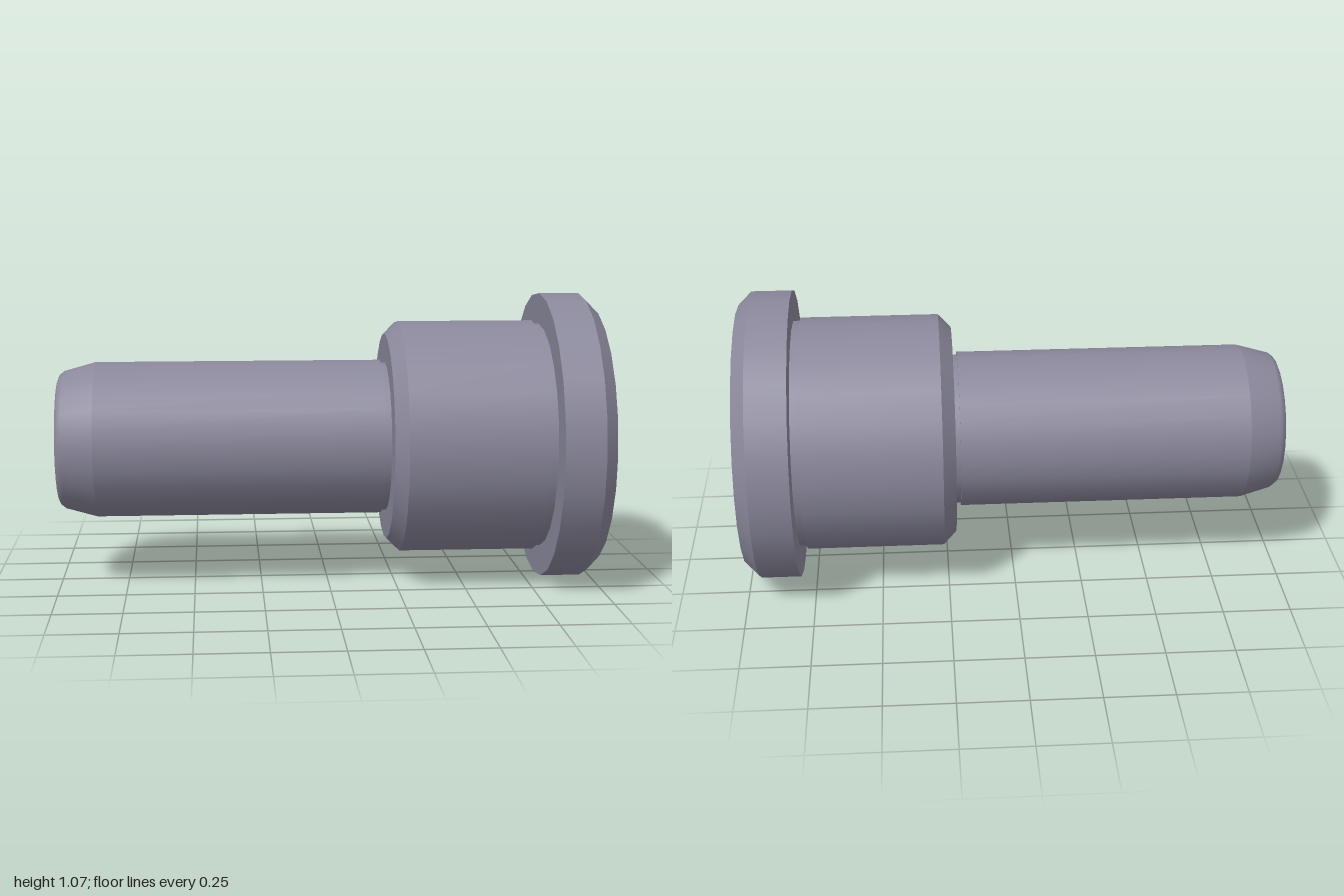
import * as THREE from 'three';

const SIDES = 24;
const AXIS_HEIGHT = 0.537;
const material = new THREE.MeshStandardMaterial({ color: 0x8a889b });

// Each run is a list of [x, radius]; shading is smooth inside a run and creased between runs.
function turnedPart(name, runs) {
  const part = new THREE.Group();
  part.name = name;
  runs.forEach((run, i) => {
    const points = run.map(([x, r]) => new THREE.Vector2(r, x));
    const geometry = new THREE.LatheGeometry(points, SIDES);
    geometry.normalizeNormals(); // the lathe leaves its last ring unnormalised
    const mesh = new THREE.Mesh(geometry, material);
    mesh.name = `${name}Surface${i + 1}`;
    part.add(mesh);
  });
  return part;
}

// Splits a profile into sharp-edged runs of one segment each.
const sharp = (profile) => profile.slice(1).map((p, i) => [profile[i], p]);

export function createModel() {
  const model = new THREE.Group();
  model.name = 'shoulderPin';

  // Shaft with a rounded, tapered tip and a shallow relief groove at the shoulder
  const shaft = turnedPart('shaft', [
    [[-1, 0], [-1, 0.228]],
    [[-1, 0.228], [-0.994, 0.243], [-0.975, 0.258], [-0.86, 0.29]],
    ...sharp([[-0.86, 0.29], [0.2, 0.29], [0.2, 0.28], [0.22, 0.28]]),
  ]);

  // Chamfered collar with a relief groove under the head
  const collar = turnedPart('collar', sharp([
    [0.22, 0.28], [0.22, 0.387], [0.267, 0.435], [0.775, 0.435], [0.775, 0.423], [0.802, 0.423],
  ]));

  // Wide head with a chamfered outer rim and flat end face
  const head = turnedPart('head', sharp([
    [0.802, 0.423], [0.802, 0.537], [0.95, 0.537], [1, 0.487], [1, 0],
  ]));

  // Lay the turning axis along x
  const body = new THREE.Group();
  body.name = 'pinBody';
  body.add(shaft, collar, head);
  body.rotation.z = -Math.PI / 2;
  body.position.y = AXIS_HEIGHT;
  model.add(body);
  return model;
}
